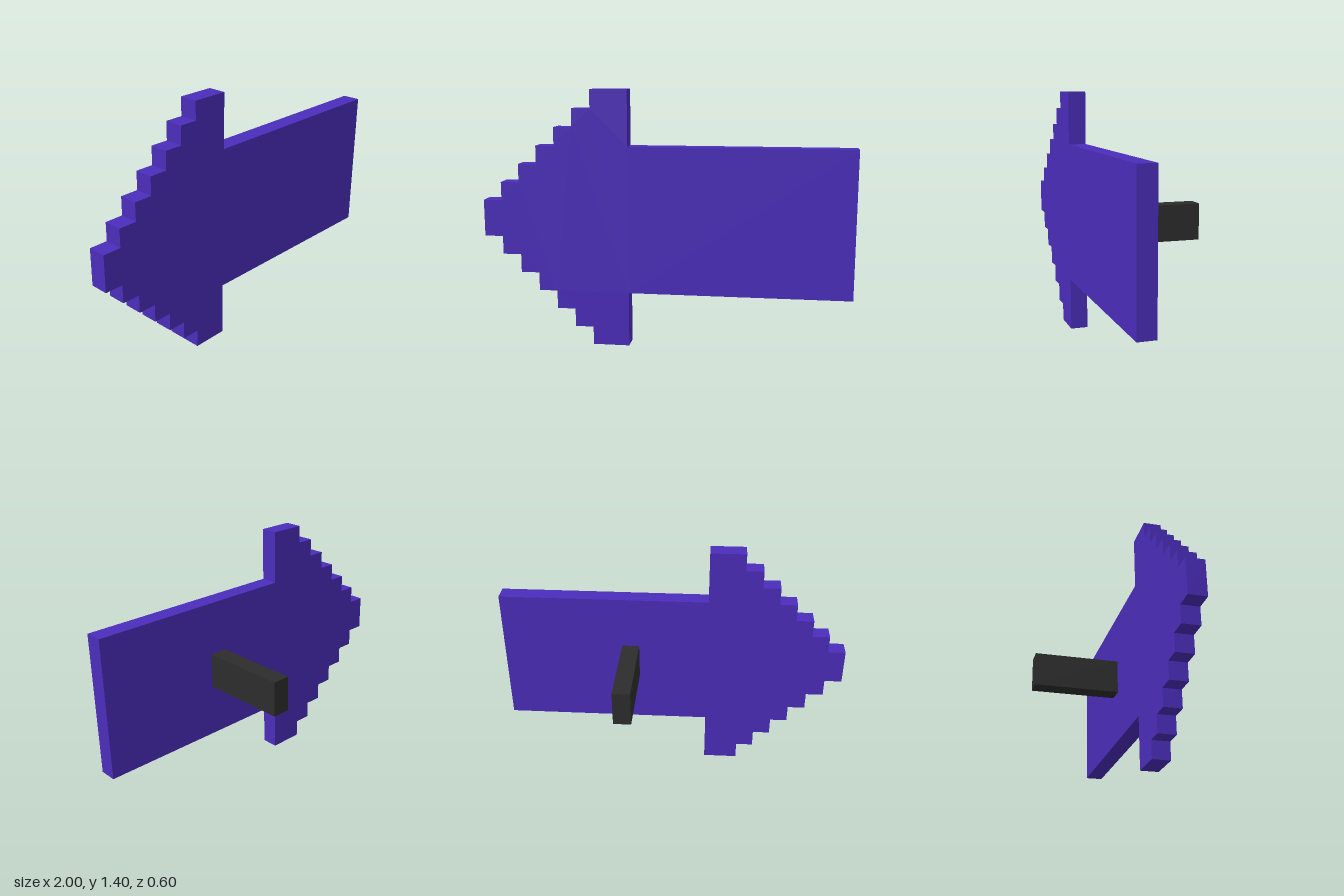
import * as THREE from 'three';

export function createModel() {
  const group = new THREE.Group();
  const purple = new THREE.MeshStandardMaterial({ color: 0x4b2dbb });
  purple.name = 'purple';
  const charcoal = new THREE.MeshStandardMaterial({ color: 0x2d2d2d });
  charcoal.name = 'charcoal';

  // Arrow plate: upper outline from the stepped tip to the shaft end, then mirrored below
  const midY = 0.7, step = 0.1, steps = 7;
  const upper = [];
  for (let i = 0; i < steps; i++) {
    const x = -1 + i * step;
    upper.push([x, (i + 1) * step], [i === steps - 1 ? -0.2 : x + step, (i + 1) * step]);
  }
  upper.push([-0.2, 0.4], [1, 0.4]);
  const lower = upper.map(([x, h]) => [x, -h]).reverse();
  const outline = [...upper, ...lower].map(([x, h]) => new THREE.Vector2(x, midY + h));
  const arrow = new THREE.Mesh(
    new THREE.ExtrudeGeometry(new THREE.Shape(outline), { depth: 0.1, bevelEnabled: false }),
    purple
  );
  arrow.position.z = 0.2;
  arrow.name = 'arrowPlate';
  group.add(arrow);

  // Mounting bar behind the shaft
  const bar = new THREE.Mesh(new THREE.BoxGeometry(0.1, 0.2, 0.5), charcoal);
  bar.position.set(0.25, midY, -0.05);
  bar.name = 'mountingBar';
  group.add(bar);

  return group;
}
